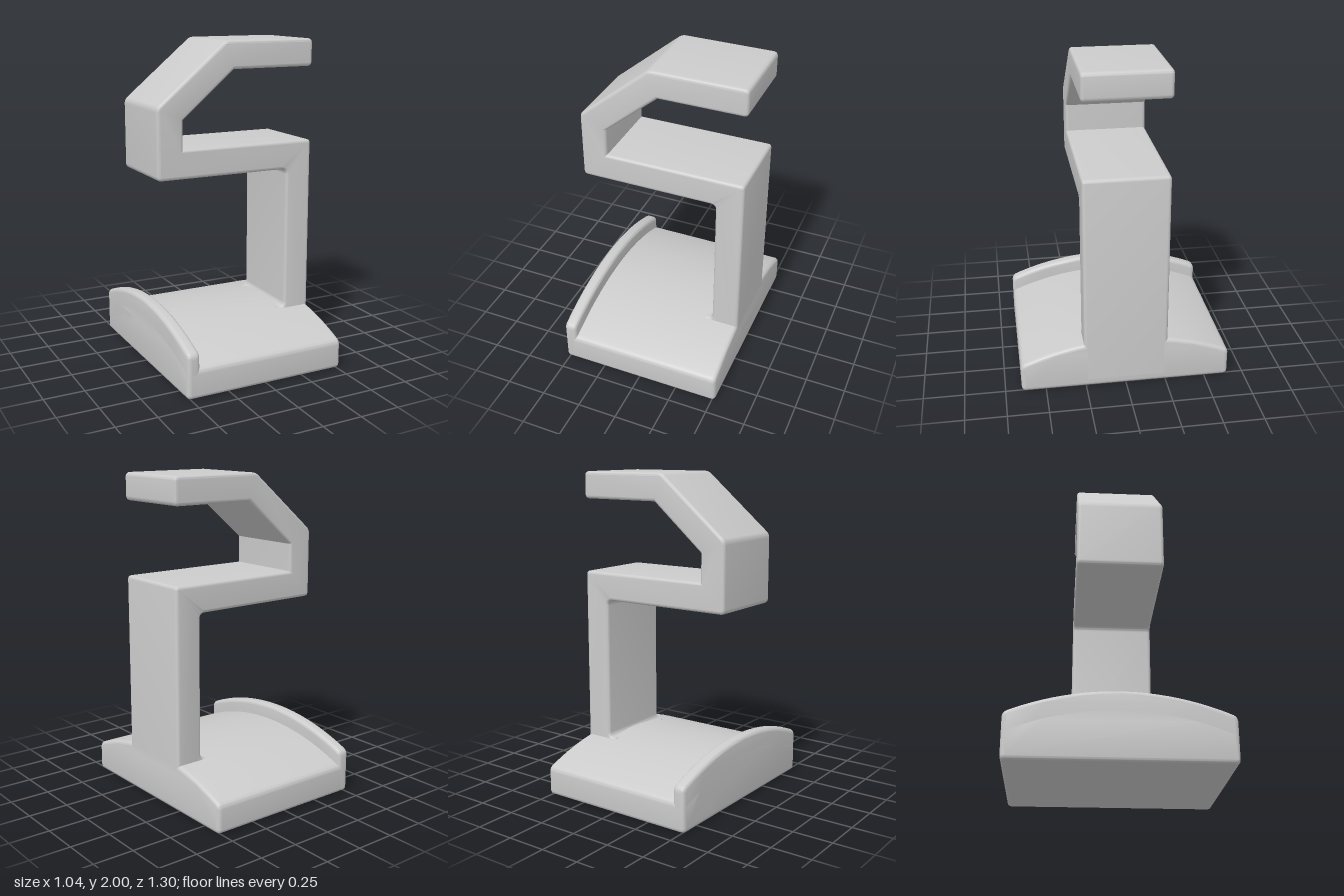
import * as THREE from 'three';
import { toCreasedNormals } from 'three/addons/utils/BufferGeometryUtils.js';

const material = new THREE.MeshStandardMaterial({ color: 0xcccccc });

// Closed outline from [x, y, cornerRadius] points
function roundedShape(points) {
  const shape = new THREE.Shape();
  points.forEach(([x, y, r = 0], i) => {
    const p = new THREE.Vector2(x, y);
    const toward = ([qx, qy]) =>
      new THREE.Vector2(qx, qy).sub(p).setLength(r).add(p);
    const a = toward(points[(i + points.length - 1) % points.length]);
    const b = toward(points[(i + 1) % points.length]);
    if (i === 0) shape.moveTo(a.x, a.y);
    else shape.lineTo(a.x, a.y);
    if (r > 0) shape.quadraticCurveTo(x, y, b.x, b.y);
  });
  shape.closePath();
  return shape;
}

// Extrusion centred on z, with softened edges kept inside the outline
function softExtrude(points, width, bevel) {
  const depth = width - 2 * bevel;
  const geometry = new THREE.ExtrudeGeometry(roundedShape(points), {
    depth, curveSegments: 8, bevelEnabled: true, bevelSegments: 7,
    bevelSize: bevel, bevelThickness: bevel, bevelOffset: -bevel,
  });
  geometry.translate(0, 0, -depth / 2);
  return toCreasedNormals(geometry, 0.45);
}

// Flat-bottomed block with an arched top, extruded along x
function archedBlock(name, peak, xMin, xMax) {
  const half = 0.65, radius = 1.63, steps = 24;
  const points = [[-half, 0, 0.03], [half, 0, 0.03]];
  for (let i = 0; i <= steps; i++) {
    const s = half - (2 * half * i) / steps;
    const y = peak - radius + Math.sqrt(radius * radius - s * s);
    points.push([s, y, i === 0 || i === steps ? 0.03 : 0]);
  }
  const geometry = softExtrude(points, xMax - xMin, 0.025);
  geometry.rotateY(Math.PI / 2);
  geometry.translate((xMin + xMax) / 2, 0, 0);
  const mesh = new THREE.Mesh(geometry, material);
  mesh.name = name;
  return mesh;
}

export function createModel() {
  const group = new THREE.Group();
  group.name = 'stand';

  // Arched base and the raised lip along its side
  group.add(archedBlock('base', 0.315, -0.52, 0.52));
  group.add(archedBlock('baseLip', 0.408, -0.52, -0.44));

  // Column, shelf and upper hook as one folded band
  const band = new THREE.Mesh(softExtrude([
    [0.52, 0.05], [0.52, 1.378, 0.025],
    [-0.355, 1.378], [-0.355, 1.55], [-0.02, 1.832],
    [0.52, 1.832, 0.03], [0.52, 2, 0.03],
    [-0.075, 2, 0.025], [-0.52, 1.63, 0.025],
    [-0.52, 1.202, 0.03], [0.347, 1.202, 0.035],
    [0.347, 0.3, 0.035], [0.3, 0.3], [0.3, 0.05],
  ], 0.52, 0.02), material);
  band.name = 'columnAndHook';
  group.add(band);

  return group;
}
